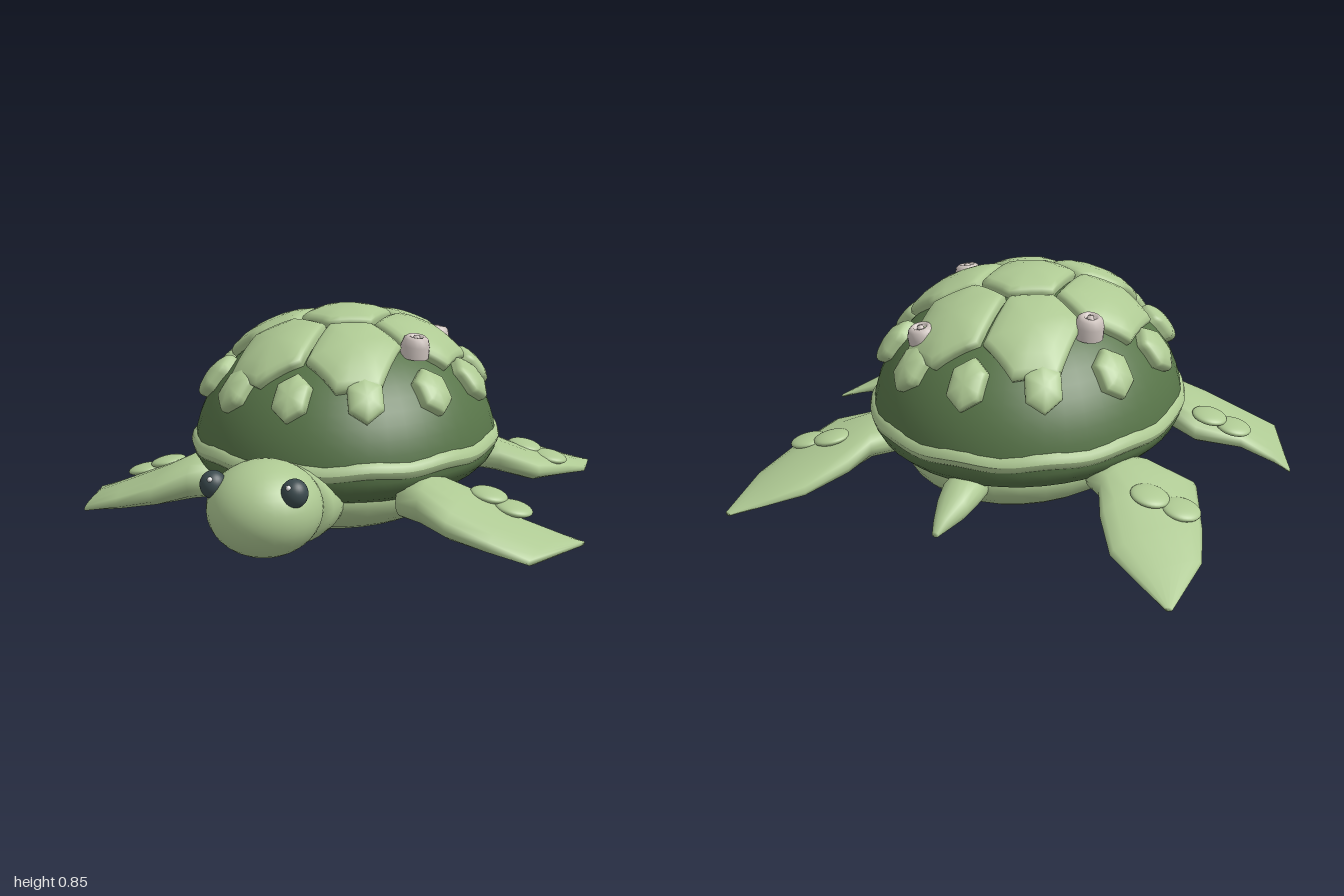
import * as THREE from 'three';

const mat = (name, color) => Object.assign(new THREE.MeshStandardMaterial({ color }), { name });

// Shell ellipsoid: centre and radii
const SHELL = { y: 0.3, z: -0.07, rx: 0.588, ry: 0.5, rz: 0.665 };
const onShell = (d, k) => new THREE.Vector3(d.x * SHELL.rx * k, SHELL.y + d.y * SHELL.ry * k, SHELL.z + d.z * SHELL.rz * k);
const fromPlan = (x, z) => {
  const ux = x / SHELL.rx, uz = (z - SHELL.z) / SHELL.rz;
  return new THREE.Vector3(ux, Math.sqrt(Math.max(0, 1 - ux * ux - uz * uz)), uz);
};

function meshFrom(points, index) {
  const g = new THREE.BufferGeometry().setFromPoints(points);
  g.setIndex(index);
  g.computeVertexNormals();
  return g;
}

// Skin over flattened oval sections [ax, az, bx, bz, y, halfThickness]
function loft(sections, n = 16) {
  const pts = [], idx = [];
  for (const [ax, az, bx, bz, y, th] of sections) {
    for (let j = 0; j < n; j++) {
      const a = (j / n) * Math.PI * 2, c = Math.cos(a) / 2;
      pts.push(new THREE.Vector3((ax + bx) / 2 + (bx - ax) * c, y + th * Math.sin(a), (az + bz) / 2 + (bz - az) * c));
    }
  }
  const last = sections.length - 1;
  for (let i = 0; i < last; i++) {
    for (let j = 0; j < n; j++) {
      const a = i * n + j, b = i * n + (j + 1) % n;
      idx.push(a, b, a + n, b, b + n, a + n);
    }
  }
  for (const i of [0, last]) {
    const [ax, az, bx, bz, y] = sections[i], c = pts.length;
    pts.push(new THREE.Vector3((ax + bx) / 2, y, (az + bz) / 2));
    for (let j = 0; j < n; j++) {
      const a = i * n + j, b = i * n + (j + 1) % n;
      idx.push(c, i ? a : b, i ? b : a);
    }
  }
  return meshFrom(pts, idx);
}

// Raised hexagonal plate; place(u, v) gives a direction on the shell
function scute(corners, place, height) {
  const sub = 4, n = corners.length * sub, pts = [], idx = [];
  const rings = [[1, -0.3], [1, 0.35], [0.95, 0.6], [0.85, 0.77], [0.6, 0.92], [0.3, 0.99]];
  for (const [t, h] of rings) {
    for (let j = 0; j < n; j++) {
      const p = corners[Math.floor(j / sub)], q = corners[(Math.floor(j / sub) + 1) % corners.length], f = (j % sub) / sub;
      pts.push(onShell(place((p[0] + (q[0] - p[0]) * f) * t, (p[1] + (q[1] - p[1]) * f) * t), 1 + h * height));
    }
  }
  pts.push(onShell(place(0, 0), 1 + height));
  rings.forEach((_, i) => {
    for (let j = 0; j < n; j++) {
      const a = i * n + j, b = i * n + (j + 1) % n;
      if (i === rings.length - 1) idx.push(b, a, pts.length - 1);
      else idx.push(b, a, a + n, b, a + n, b + n);
    }
  });
  return meshFrom(pts, idx);
}

const hexagon = (w, l, shoulder) => [[w, -shoulder], [w, shoulder], [0, l], [-w, shoulder], [-w, -shoulder], [0, -l]];

export function createModel() {
  const model = new THREE.Group();
  model.name = 'seaTurtle';
  const skin = mat('lightGreen', 0xaec993);
  const dark = mat('shellGreen', 0x587549);
  const eyeMat = mat('eyeSlate', 0x3b4a4e);
  const white = mat('glintWhite', 0xf2f2f2);
  const chalk = mat('barnacleChalk', 0xcfc4bf);

  const add = (name, geometry, material, parent = model) => {
    const m = new THREE.Mesh(geometry, material);
    m.name = name;
    parent.add(m);
    return m;
  };
  const ball = (name, material, [x, y, z], [rx, ry, rz], parent = model) => {
    const m = add(name, new THREE.SphereGeometry(1, 32, 20), material, parent);
    m.position.set(x, y, z);
    m.scale.set(rx, ry, rz);
    return m;
  };
  const group = (name) => {
    const g = new THREE.Group();
    g.name = name;
    model.add(g);
    return g;
  };

  // Shell: lower bowl running into the dome
  const profile = [[0, 0.17], [0.4, 0.17], [0.47, 0.19], [0.53, 0.225], [0.57, 0.265]].map(p => new THREE.Vector2(...p));
  for (let i = 0; i <= 16; i++) {
    const a = (i / 16) * Math.PI / 2;
    profile.push(new THREE.Vector2(SHELL.rx * Math.cos(a), SHELL.y + SHELL.ry * Math.sin(a)));
  }
  const dome = add('shell', new THREE.LatheGeometry(profile, 48), dark);
  dome.scale.z = SHELL.rz / SHELL.rx;
  dome.position.z = SHELL.z;

  // Wavy rim around the shell
  const rimGeo = new THREE.TorusGeometry(0.56, 0.04, 12, 96).rotateX(Math.PI / 2);
  const rp = rimGeo.attributes.position;
  for (let i = 0; i < rp.count; i++) {
    const a = Math.atan2(rp.getZ(i), rp.getX(i));
    rp.setY(i, rp.getY(i) + 0.005 * Math.cos(a * 12));
  }
  rimGeo.scale(1, 1, 1.125).computeVertexNormals();
  add('shellRim', rimGeo, skin).position.set(0, 0.34, SHELL.z);

  // Belly plate
  ball('belly', skin, [0, 0.205, SHELL.z], [0.47, 0.205, 0.58]);

  // Large back scutes in rows of two, three and two
  const scutes = group('scutes');
  const back = [[0, 0], [-0.29, 0], [0.29, 0], [-0.145, -0.32], [0.145, -0.32], [-0.145, 0.32], [0.145, 0.32]];
  for (const [cx, cz] of back) {
    const hex = hexagon(0.138, 0.19, 0.115);
    add('backScute', scute(hex, (u, v) => fromPlan(cx + u, SHELL.z + cz + v), 0.1), skin, scutes);
  }

  // Ring of twelve small scutes
  for (let k = 0; k < 12; k++) {
    const phi = (k / 12) * Math.PI * 2;
    const d = new THREE.Vector3(Math.cos(phi) * 0.83, 0.56, Math.sin(phi) * 0.83).normalize();
    const v = d.clone().multiplyScalar(d.y).sub(new THREE.Vector3(0, 1, 0)).normalize();
    const u = d.clone().cross(v);
    const place = (a, b) => d.clone().addScaledVector(u, a).addScaledVector(v, b).normalize();
    add('edgeScute', scute(hexagon(0.105, 0.18, 0.09), place, 0.09), skin, scutes);
  }

  // Barnacles with a crater and a small knob
  const cup = [[0.056, -0.04], [0.054, 0.005], [0.046, 0.03], [0.034, 0.04], [0.024, 0.038], [0.02, 0.026], [0.013, 0.026], [0.011, 0.04], [0, 0.044]];
  for (const [x, z] of [[0.33, 0.1], [0.245, -0.475], [-0.315, -0.285]]) {
    const d = fromPlan(x / 1.05, SHELL.z + (z - SHELL.z) / 1.05);
    const b = add('barnacle', new THREE.LatheGeometry(cup.map(p => new THREE.Vector2(...p)), 16), chalk);
    b.position.copy(onShell(d, 1.06));
    b.quaternion.setFromUnitVectors(new THREE.Vector3(0, 1, 0), new THREE.Vector3(d.x * 0.3, 1, d.z * 0.3).normalize());
  }

  // Neck, head and tail
  add('neck', loft([
    [-0.17, 0.38, 0.17, 0.38, 0.2, 0.12], [-0.19, 0.5, 0.19, 0.5, 0.215, 0.145],
    [-0.192, 0.58, 0.192, 0.58, 0.225, 0.152], [-0.187, 0.65, 0.187, 0.65, 0.24, 0.145],
  ], 32), skin);
  ball('head', skin, [0, 0.255, 0.737], [0.2, 0.167, 0.203]);
  add('tail', loft([
    [0.075, -0.52, -0.075, -0.52, 0.21, 0.06], [0.075, -0.7, -0.075, -0.7, 0.2, 0.06],
    [0.065, -0.77, -0.055, -0.77, 0.175, 0.05], [0.045, -0.84, -0.015, -0.84, 0.145, 0.03],
    [0.03, -0.88, 0.005, -0.88, 0.125, 0.01],
  ]), skin);

  // Flipper sections, leading edge to trailing edge, root to tip
  const front = [
    [0.36, 0.41, 0.38, 0.22, 0.215, 0.075], [0.45, 0.455, 0.49, 0.19, 0.215, 0.088], [0.57, 0.52, 0.62, 0.13, 0.17, 0.07],
    [0.72, 0.52, 0.79, 0.205, 0.125, 0.048], [0.865, 0.515, 0.93, 0.18, 0.085, 0.025], [0.985, 0.2, 0.998, 0.16, 0.063, 0.008],
  ];
  const rear = [
    [0.48, -0.28, 0.38, -0.48, 0.22, 0.06], [0.58, -0.29, 0.45, -0.54, 0.215, 0.07], [0.74, -0.3, 0.49, -0.64, 0.175, 0.062],
    [0.82, -0.52, 0.58, -0.8, 0.135, 0.045], [0.862, -0.68, 0.7, -0.875, 0.1, 0.027], [0.835, -0.935, 0.81, -0.94, 0.07, 0.008],
  ];
  const bumps = {
    front: [[0.75, 0.185, 0.23], [0.655, 0.222, 0.215]],
    rear: [[0.63, 0.225, -0.52], [0.74, 0.19, -0.51]],
  };

  for (const s of [1, -1]) {
    const side = s > 0 ? 'left' : 'right';
    for (const [kind, sections] of [['Front', front], ['Rear', rear]]) {
      const flipper = group(`${side}${kind}Flipper`);
      const mirrored = sections.map(([ax, az, bx, bz, y, t]) => s > 0 ? [ax, az, bx, bz, y, t] : [-bx, bz, -ax, az, y, t]);
      add('flipperBlade', loft(mirrored), skin, flipper);
      for (const [x, y, z] of bumps[kind.toLowerCase()]) {
        ball('flipperBump', skin, [s * x, y, z], [0.07, 0.022, 0.07], flipper).rotation.z = -s * 0.2;
      }
    }
    // Eye with a small glint
    const eye = group(`${side}Eye`);
    ball('eyeball', eyeMat, [s * 0.148, 0.347, 0.828], [0.046, 0.049, 0.046], eye);
    ball('eyeGlint', white, [s * 0.142, 0.374, 0.864], [0.009, 0.009, 0.009], eye);
  }
  return model;
}
